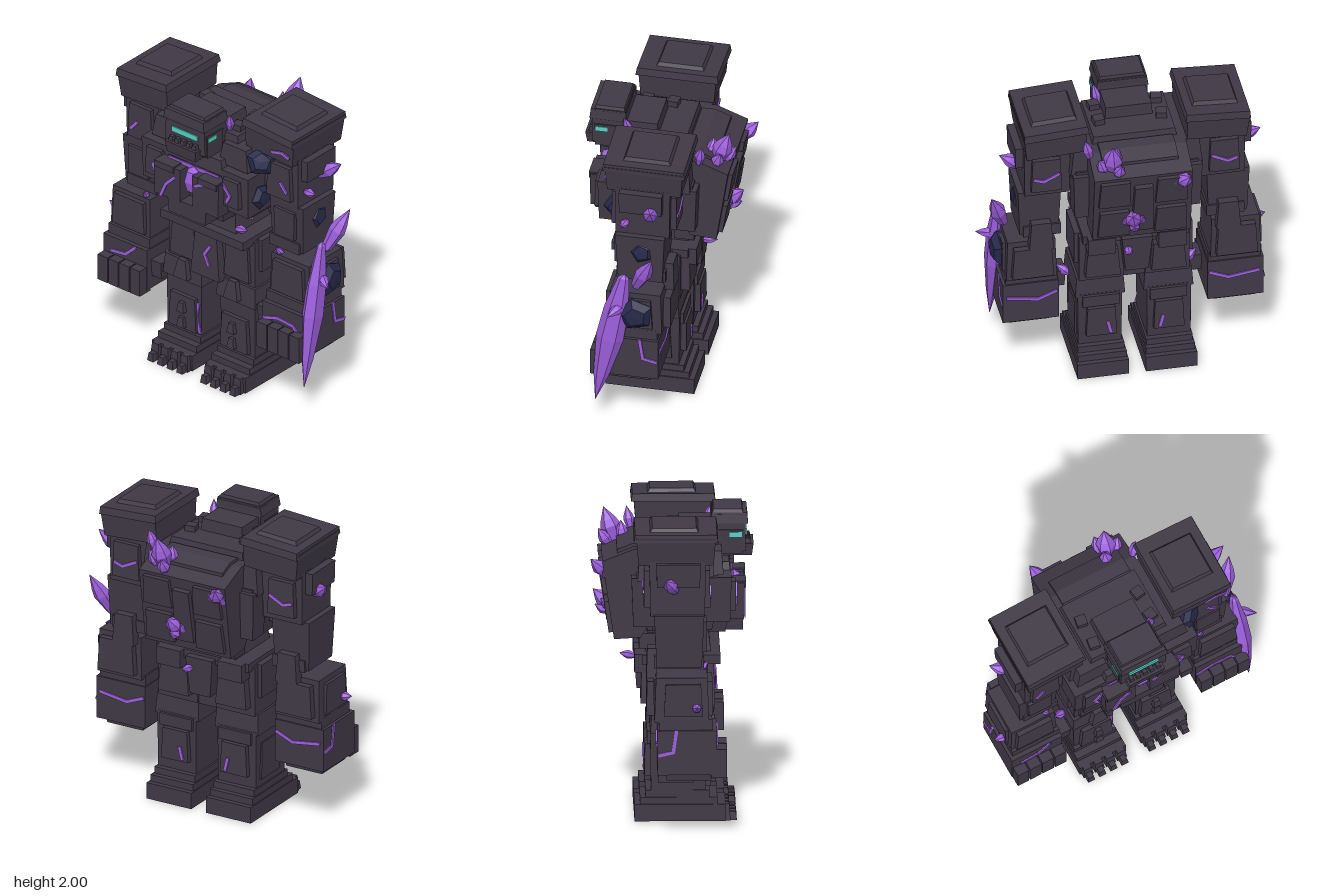
import * as THREE from 'three';
import { mergeGeometries } from 'three/addons/utils/BufferGeometryUtils.js';

export function createModel() {
  const paint = (name, color) => Object.assign(new THREE.MeshStandardMaterial({ color }), { name });
  const stone = paint('dark stone', 0x403946), purple = paint('purple crystal', 0x9d5fdd);
  const navy = paint('navy rock', 0x27294a), teal = paint('teal glow', 0x52d4c4);
  const root = new THREE.Group();
  root.name = 'stoneGolem';
  const body = new THREE.Group();
  body.name = 'golemBody';
  body.position.x = -0.035;
  root.add(body);
  const UP = new THREE.Vector3(0, 1, 0);
  const vec = p => new THREE.Vector3(...p);

  function add(name, geo, mat) {
    const flat = geo.index ? geo.toNonIndexed() : geo;
    flat.computeVertexNormals();
    const mesh = new THREE.Mesh(flat, mat);
    mesh.name = name;
    body.add(mesh);
    return mesh;
  }
  // box from x, y, z ranges with scaled top and bottom; s mirrors it across x
  function block(name, s, [x0, x1], [y0, y1], [z0, z1], top = 1, bottom = 1, mat = stone) {
    const g = new THREE.BoxGeometry(x1 - x0, y1 - y0, z1 - z0), p = g.attributes.position;
    for (let i = 0; i < p.count; i++) {
      const k = p.getY(i) > 0 ? top : bottom;
      p.setXYZ(i, p.getX(i) * k, p.getY(i), p.getZ(i) * k);
    }
    const m = add(name, g, mat);
    m.position.set(s * (x0 + x1) / 2, (y0 + y1) / 2, (z0 + z1) / 2);
    return m;
  }
  // side profile of [z, y] points pulled across x
  function prism(name, pts, half) {
    const g = new THREE.ExtrudeGeometry(new THREE.Shape(pts.map(p => new THREE.Vector2(...p))), { depth: half * 2, bevelEnabled: false });
    return add(name, g.rotateY(-Math.PI / 2).translate(half, 0, 0), stone);
  }
  // faceted shard from base to tip
  const shardProfile = [[0, 0], [0.6, 0.08], [1, 0.5], [0.75, 0.68], [0, 1]];
  const bladeProfile = [[0, 0], [0.55, 0.2], [1, 0.5], [0.9, 0.72], [0.4, 0.97], [0, 1]];
  function crystal(name, from, to, r, flatX = 1, prof = shardProfile) {
    const a = vec(from), d = vec(to).sub(a), len = d.length();
    const g = new THREE.LatheGeometry(prof.map(([x, y]) => new THREE.Vector2(x * r, y * len)), 6);
    const m = add(name, g.scale(flatX, 1, 1), purple);
    m.position.copy(a);
    m.quaternion.setFromUnitVectors(UP, d.normalize());
  }
  // one tall shard with n smaller ones splayed around it
  function cluster(base, dir, n, r) {
    const a = vec(base), d = vec(dir);
    crystal('clusterCrystal', base, a.clone().add(d).toArray(), r);
    const side = new THREE.Vector3(1, 0, 0).multiplyScalar(d.length() * 0.45);
    for (let i = 0; i < n; i++) {
      const lean = side.clone().applyAxisAngle(d.clone().normalize(), i * 2 * Math.PI / n);
      const b = a.clone().addScaledVector(lean, 0.35);
      crystal('clusterShard', b.toArray(), b.clone().addScaledVector(d, 0.55).add(lean.multiplyScalar(0.4)).toArray(), r * 0.65);
    }
  }
  // thin glowing crack along a polyline on a face with normal n
  function vein(name, pts, n) {
    const N = vec(n), w = 0.022;
    const parts = pts.slice(1).map((p, i) => {
      const a = vec(pts[i]), b = vec(p), d = b.clone().sub(a), len = d.length();
      d.normalize();
      const c = a.add(b).multiplyScalar(0.5).addScaledVector(N, 0.004);
      return new THREE.BoxGeometry(w, len + w / 2, 0.009)
        .applyMatrix4(new THREE.Matrix4().makeBasis(d.clone().cross(N), d, N)).translate(c.x, c.y, c.z);
    });
    add(name, mergeGeometries(parts), purple);
  }
  // five-sided rock boss facing direction n
  function rock(name, at, n, r) {
    const pts = [[0, -0.3], [0.85, -0.3], [1, 0.1], [0.6, 0.42], [0, 0.45]];
    const m = add(name, new THREE.LatheGeometry(pts.map(([x, y]) => new THREE.Vector2(x * r, y * r)), 5), navy);
    m.position.set(...at);
    m.quaternion.setFromUnitVectors(UP, vec(n).normalize());
  }

  for (const s of [-1, 1]) {
    // stepped feet with toes
    for (let i = 0; i < 3; i++) {
      const k = i * 0.008;
      block('footStep', s, [0.055 + k, 0.39 - k], [i * 0.05, 0.11 + i * 0.045], [-0.24 + i * 0.035, 0.34 - i * 0.05]);
    }
    for (let i = 0; i < 4; i++) {
      const x = 0.065 + i * 0.081;
      block('toe', s, [x, x + 0.07], [0, 0.11], [0.3, 0.375], 0.75);
      block('toeClaw', s, [x + 0.01, x + 0.06], [0, 0.055], [0.36, 0.415], 0.75);
    }
    // shins
    block('shin', s, [0.08, 0.37], [0.19, 0.59], [-0.14, 0.22], 1, 0.97);
    block('shinPlate', s, [0.1, 0.33], [0.22, 0.46], [0.2, 0.25], 0.88);
    for (const y of [0.24, 0.35]) block('shinStud', s, [0.18, 0.24], [y, y + 0.07], [0.24, 0.28], 0.6);
    block('calfPlate', s, [0.12, 0.32], [0.28, 0.49], [-0.175, -0.13], 0.9);
    block('calfRidge', s, [0.1, 0.34], [0.5, 0.58], [-0.16, -0.1]);
    block('shinSide', s, [0.35, 0.38], [0.25, 0.5], [-0.09, 0.14], 0.9);
    // knees and thighs
    block('knee', s, [0.06, 0.385], [0.57, 0.71], [-0.14, 0.24], 0.94);
    block('kneeStud', s, [0.15, 0.27], [0.6, 0.73], [0.21, 0.28], 0.5);
    block('thigh', s, [0.07, 0.36], [0.7, 1.04], [-0.14, 0.21]);
    block('thighPlate', s, [0.12, 0.33], [0.74, 0.98], [0.19, 0.235], 0.85);
    block('backThighPlate', s, [0.1, 0.33], [0.76, 0.96], [-0.2, -0.13], 0.85);
    block('hipPlate', s, [0.33, 0.385], [0.82, 1.05], [-0.1, 0.17]);
    block('seatPlate', s, [0.14, 0.32], [0.96, 1.08], [-0.24, -0.13]);

    // shoulder, arm and forearm, with plates front and back
    block('shoulder', s, [0.42, 0.72], [1.42, 1.78], [-0.15, 0.21], 1, 0.97);
    block('shoulderFlare', s, [0.45, 0.775], [1.62, 1.77], [-0.11, 0.18], 0.97, 0.95);
    block('upperArm', s, [0.475, 0.755], [1.09, 1.43], [-0.12, 0.2], 1, 0.9);
    block('elbowCuff', s, [0.475, 0.72], [1.08, 1.16], [-0.12, 0.2]);
    block('armPlate', s, [0.52, 0.7], [1.18, 1.38], [0.17, 0.22], 0.95, 0.9);
    block('elbow', s, [0.53, 0.69], [1, 1.2], [-0.17, -0.1], 0.8);
    block('forearm', s, [0.5, 0.83], [0.75, 1.04], [-0.12, 0.23], 0.94);
    block('forearmSide', s, [0.81, 0.845], [0.79, 1], [-0.06, 0.19], 0.9);
    for (const z of [0.215, -0.16]) {
      block('shoulderPlate', s, [0.48, 0.68], [1.47, 1.71], [z - 0.025, z + 0.025], 0.9);
      block('forearmPlate', s, [0.53, 0.8], [0.79, 1.01], [z - 0.01, z + 0.04], 0.9);
    }
    block('wristCuff', s, [0.49, 0.83], [0.7, 0.77], [-0.09, 0.25]);
    // hands
    block('hand', s, [0.485, 0.85], [0.41, 0.7], [-0.1, 0.28]);
    block('palm', s, [0.53, 0.81], [0.365, 0.42], [-0.05, 0.25], 1, 0.95);
    for (let i = 0; i < 4; i++) {
      const x = 0.49 + i * 0.09;
      block('finger', s, [x, x + 0.082], [0.39, 0.575], [0.24, 0.345]);
    }
    block('thumb', s, [0.4, 0.49], [0.5, 0.62], [0.1, 0.24], 1, 0.85);

    // overhanging pauldron with raised panel, outer side lower
    for (const part of [
      block('pauldron', s, [0.325, 0.73], [1.765, 1.95], [-0.23, 0.27], 1.02, 0.96),
      block('pauldronRim', s, [0.315, 0.74], [1.92, 1.97], [-0.25, 0.29], 0.97),
      block('pauldronPanel', s, [0.37, 0.68], [1.96, 1.995], [-0.15, 0.17], 0.88),
    ]) part.rotation.z = s * -0.06;

    // chest side masses
    block('chestWing', s, [0.22, 0.445], [1.32, 1.61], [0, 0.38], 1, 0.95);
    block('chestWingPlate', s, [0.25, 0.39], [1.38, 1.57], [0.36, 0.41], 0.9);
    block('collarPlate', s, [0.16, 0.4], [1.62, 1.77], [0.2, 0.33], 0.8);
    block('breastPlate', s, [0.05, 0.27], [1.3, 1.535], [0.34, 0.465], 1, 0.97);
    block('breastTrim', s, [0.1, 0.26], [1.5, 1.545], [0.34, 0.475]);
    block('rib', s, [0.2, 0.38], [1.25, 1.36], [-0.15, 0.28], 1, 0.88);
    for (const z of [-0.02, 0.15]) block('collarCube', s, [0.17, 0.24], [1.79, 1.86], [z, z + 0.07]).rotation.y = s * 0.15;

    // back plates on the slanted hump
    for (const [y, z] of [[1.47, -0.455], [1.22, -0.42]])
      block('backPlate', s, [0.08, 0.29], [y, y + 0.2], [z, z + 0.06], 0.9).rotation.x = -0.165;
    block('backFlank', s, [0.28, 0.42], [1.28, 1.6], [-0.26, -0.1], 1, 0.85);
    block('waistBlock', s, [0.14, 0.25], [1.1, 1.2], [-0.21, -0.08]);
    block('headCheek', s, [0.12, 0.172], [1.7, 1.86], [0.3, 0.46], 1, 0.9);
    block('sideEye', s, [0.168, 0.177], [1.815, 1.845], [0.37, 0.45], 1, 1, teal);
  }

  // parts on the centre line, given by half width
  const mid = (name, half, ...rest) => block(name, 1, [-half, half], ...rest);
  mid('upperTorso', 0.43, [1.58, 1.77], [-0.22, 0.27], 0.95);
  mid('midTorso', 0.4, [1.3, 1.62], [-0.23, 0.29], 1, 0.92);
  mid('collar', 0.28, [1.74, 1.82], [-0.15, 0.28], 0.95);
  mid('neck', 0.16, [1.76, 1.9], [0.04, 0.32], 0.93);
  mid('chestLedge', 0.24, [1.56, 1.66], [0.2, 0.38], 0.87);
  mid('belly', 0.23, [1.2, 1.34], [-0.18, 0.37], 1, 0.9);
  mid('bellyPlate', 0.16, [1.2, 1.31], [0.34, 0.46], 1, 0.95);
  mid('waist', 0.235, [1.08, 1.21], [-0.17, 0.25], 0.93);
  mid('belt', 0.345, [1.02, 1.08], [-0.19, 0.31]);
  mid('pelvis', 0.32, [0.86, 1.04], [-0.13, 0.22], 1, 0.9);
  mid('crotch', 0.09, [0.69, 0.9], [-0.12, 0.22]);
  mid('loinPlate', 0.12, [0.69, 1.01], [0.21, 0.28], 0.74);
  mid('tailPlate', 0.1, [0.8, 1.06], [-0.24, -0.1], 1, 0.75);
  prism('backHump', [[-0.1, 1.77], [-0.24, 1.77], [-0.445, 1.69], [-0.37, 1.18], [-0.2, 1.19], [-0.1, 1.35]], 0.32);
  prism('humpTopPlate', [[-0.14, 1.76], [-0.16, 1.79], [-0.25, 1.79], [-0.35, 1.75], [-0.35, 1.69]], 0.245);
  mid('spinePlate', 0.07, [1.25, 1.62], [-0.445, -0.38], 0.85).rotation.x = -0.165;

  // head
  mid('head', 0.165, [1.72, 1.96], [0.25, 0.475], 0.98);
  mid('headCap', 0.17, [1.9, 1.97], [0.25, 0.49], 0.94);
  mid('headCrest', 0.155, [1.96, 1.99], [0.26, 0.46], 0.92);
  mid('jaw', 0.13, [1.68, 1.76], [0.32, 0.525], 1, 0.9);
  for (let i = -2; i < 3; i++) block('tooth', 1, [i * 0.048 - 0.018, i * 0.048 + 0.018], [1.74, 1.79], [0.45, 0.51], 0.75);
  mid('visorEye', 0.107, [1.815, 1.852], [0.473, 0.482], 1, 1, teal);

  // chest core
  const core = add('chestCore', new THREE.SphereGeometry(0.08, 6, 4), purple);
  core.scale.set(0.85, 1.25, 0.8);
  core.position.set(0.01, 1.46, 0.4);
  mid('coreGlow', 0.21, [1.53, 1.56], [0.385, 0.394], 1, 1, purple);

  // great blade shard on the left arm
  crystal('bladeCrystal', [0.855, 0.2, 0.31], [0.845, 1.2, 0.12], 0.09, 0.65, bladeProfile);
  crystal('bladeTipCrystal', [0.81, 1.08, 0.06], [0.918, 1.38, -0.075], 0.055);

  // back crystal clusters
  cluster([0.18, 1.68, -0.34], [0.02, 0.25, -0.09], 3, 0.065);
  cluster([-0.24, 1.58, -0.4], [-0.05, 0.12, -0.12], 2, 0.05);
  cluster([0.05, 1.29, -0.36], [0.03, 0.13, -0.14], 4, 0.055);
  // single shards on shoulders, arms, hips and head
  crystal('shoulderCrystal', [-0.7, 1.58, 0.02], [-0.84, 1.68, -0.05], 0.045);
  crystal('shoulderCrystal', [0.69, 1.57, -0.02], [0.865, 1.7, -0.05], 0.05);
  crystal('shoulderShard', [0.71, 1.52, 0.13], [0.815, 1.54, 0.15], 0.03);
  crystal('forearmCrystal', [0.82, 0.96, 0.12], [0.97, 0.93, 0.21], 0.035);
  crystal('forearmCrystal', [-0.81, 0.84, 0.15], [-0.91, 0.86, 0.15], 0.03);
  crystal('waistCrystal', [0.2, 1.1, 0.22], [0.335, 1.14, 0.25], 0.028);
  crystal('ribCrystal', [0.31, 1.26, 0.22], [0.38, 1.24, 0.25], 0.024);
  crystal('tailCrystal', [0.06, 0.98, -0.22], [0.07, 1, -0.33], 0.028);
  crystal('headCrystal', [0.16, 1.8, 0.22], [0.19, 1.95, 0.26], 0.03);
  crystal('pauldronCrystal', [0.31, 1.74, -0.25], [0.35, 1.9, -0.28], 0.035);
  for (const s of [-1, 1]) {
    crystal('kneeCrystal', [s * 0.36, 0.58, 0.1], [s * 0.46, 0.66, 0.13], 0.03);
    crystal('cuffCrystal', [s * 0.57, 1.02, 0.17], [s * 0.55, 1.09, 0.23], 0.022);
  }

  // navy rocks
  rock('chestRock', [0.45, 1.7, 0.25], [0.6, 0.3, 0.75], 0.1);
  rock('ribRock', [0.445, 1.44, 0.25], [1, 0, 0.1], 0.09);
  rock('upperArmRock', [0.725, 1.31, 0.03], [1, 0.1, 0], 0.09);
  rock('forearmRock', [0.845, 0.9, 0.05], [1, 0, -0.1], 0.12);

  // cracks on front faces
  const front = (z, ...pts) => vein('frontVein', pts.map(([x, y]) => [x, y, z]), [0, 0, 1]);
  front(0.28, [-0.78, 0.6], [-0.66, 0.615], [-0.58, 0.69]);
  front(0.28, [0.495, 0.58], [0.61, 0.615], [0.74, 0.605], [0.775, 0.565]);
  front(0.465, [-0.21, 1.3], [-0.165, 1.4], [-0.095, 1.47]);
  front(0.465, [0.075, 1.47], [0.2, 1.53]);
  front(0.28, [0.045, 0.93], [0, 0.86], [0.035, 0.785]);
  front(0.275, [0.56, 1.82], [0.64, 1.84], [0.7, 1.82]);
  front(0.222, [-0.1, 0.43], [-0.115, 0.33], [-0.085, 0.22]);
  // mirrored cracks on chest, shoulders, hands and calves
  for (const s of [-1, 1]) {
    front(0.41, [s * 0.26, 1.53], [s * 0.32, 1.46], [s * 0.295, 1.41]);
    front(0.24, [s * 0.6, 1.59], [s * 0.65, 1.53]);
    vein('handSideVein', [[0.02, 0.7], [0, 0.56], [-0.09, 0.54]].map(([z, y]) => [s * 0.85, y, z]), [s, 0, 0]);
    const back = (z, ...pts) => vein('backVein', pts.map(([x, y]) => [s * x, y, z]), [0, 0, -1]);
    back(-0.1, [0.5, 0.62], [0.62, 0.57], [0.82, 0.6]);
    back(-0.185, [0.5, 1.6], [0.6, 1.55], [0.66, 1.57]);
    back(-0.175, [0.18, 0.38], [0.16, 0.3]);
  }
  return root;
}
